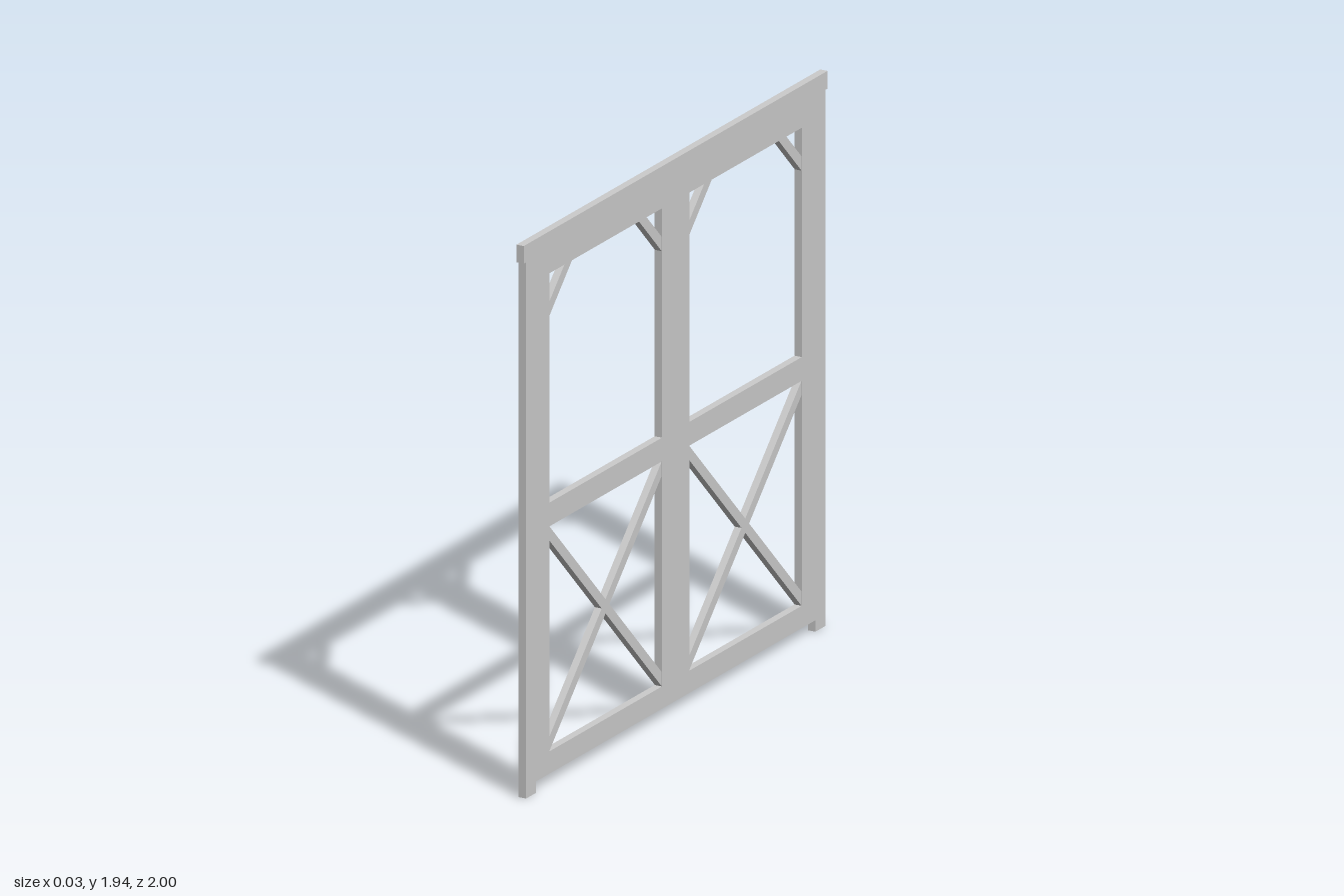
import * as THREE from 'three';

const mat = new THREE.MeshStandardMaterial({ color: 0xcccccc, flatShading: true });
const T = 0.028; // overall thickness along x

const poly = (pts, Type = THREE.Shape) => new Type(pts.map(([z, y]) => new THREE.Vector2(z, y)));
const rect = (z0, z1, y0, y1) => [[z0, y0], [z1, y0], [z1, y1], [z0, y1]];

// Extrude a z-y outline from xFront towards -x
function panel(name, shapes, xFront, depth) {
  const geo = new THREE.ExtrudeGeometry(shapes, { depth, bevelEnabled: false });
  geo.rotateY(-Math.PI / 2);
  geo.translate(xFront, 0, 0);
  const mesh = new THREE.Mesh(geo, mat);
  mesh.name = name;
  return mesh;
}

function box(name, z0, z1, y0, y1) {
  const mesh = new THREE.Mesh(new THREE.BoxGeometry(T, y1 - y0, z1 - z0), mat);
  mesh.position.set(0, (y0 + y1) / 2, (z0 + z1) / 2);
  mesh.name = name;
  return mesh;
}

// One door leaf, centred on its own z = 0
function createLeaf() {
  const leaf = new THREE.Group();
  const w = 0.37;
  const openings = [rect(-w, w, 0.118, 0.905), rect(-w, w, 0.988, 1.79)];
  const frame = (inset) => {
    const s = poly(rect(-0.46 + inset, 0.46 - inset, 0.04 + inset, 1.875 - inset));
    s.holes = openings.map((o) => poly(o, THREE.Path));
    return s;
  };
  // Thin rebated edge at the flush side, thicker stiles and rails behind it
  leaf.add(panel('leafFlange', frame(0), T / 2, T / 2));
  leaf.add(panel('leafStilesAndRails', frame(0.02), 0, T / 2));

  // Crossed braces below and corner braces above, mirrored
  for (const s of [1, -1]) {
    const flip = (pts) => poly(pts.map(([z, y]) => [s * z, y]));
    leaf.add(panel('crossBrace', flip([[-w, 0.118], [w, 0.855], [w, 0.905], [-w, 0.168]]), T / 2 - 0.001, T - 0.002));
    leaf.add(panel('cornerBrace', flip([[w, 1.64], [w, 1.69], [0.27, 1.79], [0.22, 1.79]]), T / 2 - 0.001, T - 0.002));
  }
  return leaf;
}

export function createModel() {
  const model = new THREE.Group();
  model.name = 'doubleDoor';

  // Surrounding frame
  model.add(box('header', -1, 1, 1.875, 1.937));
  model.add(box('leftPost', -0.985, -0.92, 0, 1.875));
  model.add(box('rightPost', 0.92, 0.985, 0, 1.875));

  // Pair of leaves
  for (const s of [1, -1]) {
    const leaf = createLeaf();
    leaf.name = s > 0 ? 'frontLeaf' : 'backLeaf';
    leaf.position.z = s * 0.46;
    model.add(leaf);
  }
  return model;
}
